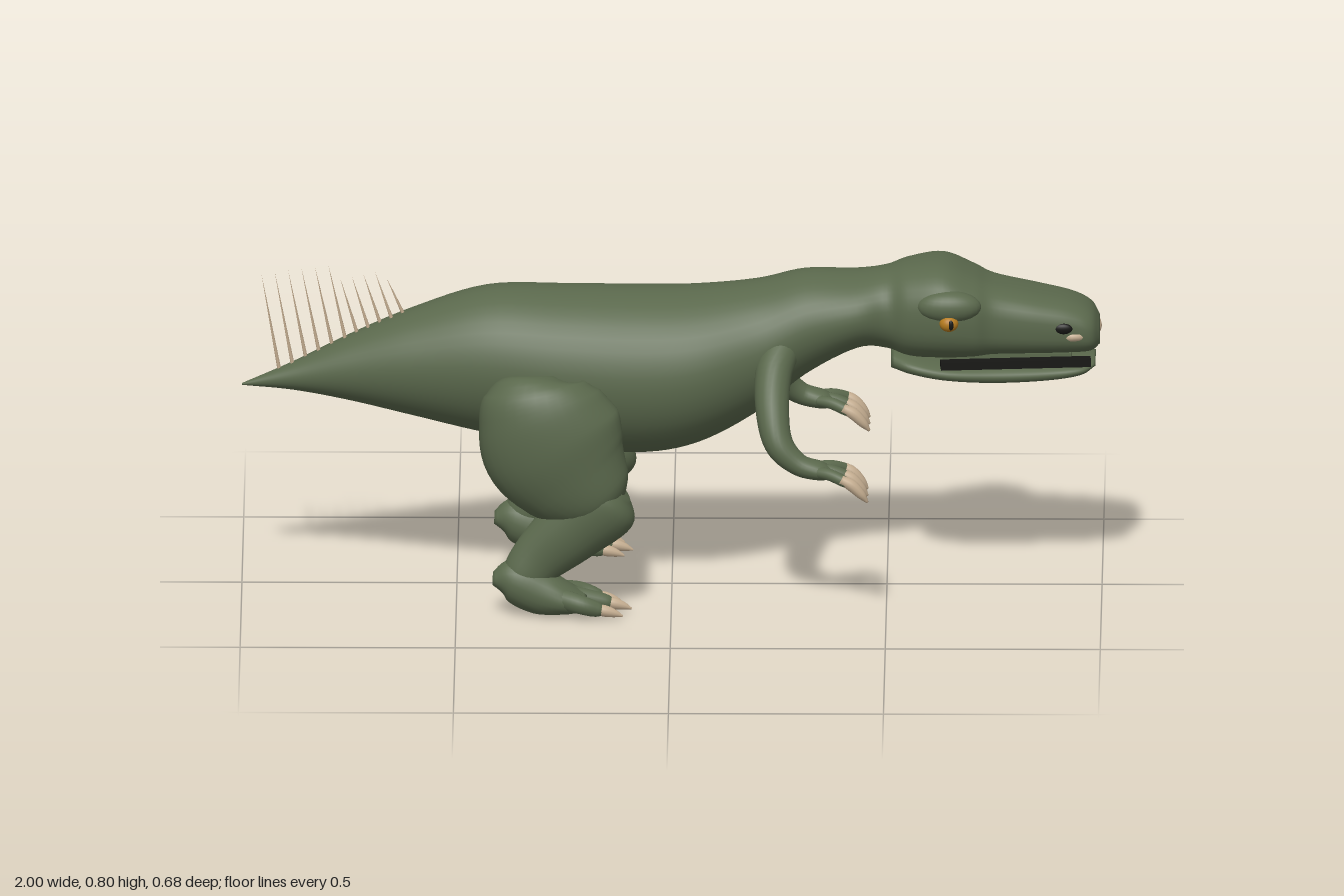
import * as THREE from 'three';

const mat = (name, color) => Object.assign(new THREE.MeshStandardMaterial({ color }), { name });

// Smooth closed skin swept through rows [x, y, z, radius in the xy plane, radius along z, squareness]
function sweep(rows, { steps = 6, sides = 24, axis = null } = {}) {
  const centre = new THREE.CatmullRomCurve3(rows.map(r => new THREE.Vector3(r[0], r[1], r[2])), false, 'catmullrom', 0.5);
  const size = new THREE.CatmullRomCurve3(rows.map(r => new THREE.Vector3(r[3], r[4], r[5] ?? 2)), false, 'catmullrom', 0.5);
  const n = (rows.length - 1) * steps;
  const pos = [], index = [];
  const side = new THREE.Vector3(), up = new THREE.Vector3(), p = new THREE.Vector3();
  const squash = (v, e) => Math.sign(v) * Math.pow(Math.abs(v), 2 / e);
  for (let i = 0; i <= n; i++) {
    const c = centre.getPoint(i / n), s = size.getPoint(i / n);
    const t = axis ?? centre.getTangent(i / n);
    side.set(0, 0, 1).addScaledVector(t, -t.z).normalize();
    up.crossVectors(side, t);
    for (let k = 0; k < sides; k++) {
      const a = (k / sides) * Math.PI * 2;
      p.copy(c)
        .addScaledVector(up, Math.max(s.x, 0.001) * squash(Math.sin(a), s.z))
        .addScaledVector(side, Math.max(s.y, 0.001) * squash(Math.cos(a), s.z));
      pos.push(p.x, p.y, p.z);
    }
  }
  for (let i = 0; i < n; i++) {
    for (let k = 0; k < sides; k++) {
      const a = i * sides + k, b = i * sides + (k + 1) % sides;
      index.push(a, a + sides, b, b, a + sides, b + sides);
    }
  }
  // End caps
  for (const [ring, row, flip] of [[0, rows[0], false], [n, rows[rows.length - 1], true]]) {
    const tip = pos.length / 3;
    pos.push(row[0], row[1], row[2]);
    for (let k = 0; k < sides; k++) {
      const a = ring * sides + k, b = ring * sides + (k + 1) % sides;
      index.push(tip, flip ? b : a, flip ? a : b);
    }
  }
  const g = new THREE.BufferGeometry();
  g.setAttribute('position', new THREE.Float32BufferAttribute(pos, 3));
  g.setIndex(index);
  g.computeVertexNormals();
  return g;
}

export function createModel() {
  const model = new THREE.Group();
  model.name = 'dinosaur';
  const skin = mat('green skin', 0x5a684c);
  const bone = mat('bone', 0xc4ad90);
  const amber = mat('amber eye', 0xb47a1e);
  const black = mat('black', 0x161614);

  const add = (name, geometry, material, parent = model) => {
    const m = new THREE.Mesh(geometry, material);
    m.name = name;
    parent.add(m);
    return m;
  };
  const blob = (name, material, parent, [x, y, z], [rx, ry, rz]) => {
    const m = add(name, new THREE.SphereGeometry(1, 24, 16), material, parent);
    m.position.set(x, y, z);
    m.scale.set(rx, ry, rz);
    return m;
  };

  // Tail, trunk, neck and upper head: [x, top, bottom, half width, squareness]
  const X = new THREE.Vector3(1, 0, 0);
  const profile = rows => rows.map(([x, t, b, w, e]) => [x, (t + b) / 2, 0, (t - b) / 2, w, e]);
  add('body', sweep(profile([
    [-1, .492, .488, .003], [-.88, .545, .478, .035], [-.75, .61, .455, .075],
    [-.6, .675, .42, .12], [-.43, .728, .38, .16], [-.25, .73, .35, .182],
    [-.08, .728, .335, .19], [.06, .73, .36, .185], [.2, .745, .435, .155],
    [.31, .77, .525, .137], [.43, .77, .59, .125], [.5, .78, .59, .108, 2.2],
    [.55, .795, .575, .13, 2.4], [.63, .803, .575, .148, 2.6], [.7, .775, .578, .138, 2.7],
    [.75, .752, .582, .118, 2.8], [.85, .73, .584, .11, 2.8], [.93, .712, .585, .1, 2.7],
    [.975, .69, .588, .088, 2.5], [.995, .66, .6, .055, 2.2],
  ]), { axis: X, sides: 40 }), skin);

  // Lower jaw
  add('jaw', sweep(profile([
    [.51, .6, .55, .09, 2.4], [.56, .59, .54, .12, 2.4], [.64, .575, .528, .127, 2.5],
    [.75, .57, .518, .112, 2.5], [.87, .568, .522, .1, 2.5], [.95, .57, .533, .088, 2.3],
    [.985, .57, .55, .055, 2],
  ]), { axis: X, sides: 32 }), skin);
  add('mouthLining', new THREE.BoxGeometry(.3, .03, .15), skin).position.set(.78, .578, 0);

  // Pale nose patch
  blob('nosePatch', bone, model, [.93, .639, 0], [.07, .031, .104]);

  // Row of thin spines along the tail
  const spines = new THREE.Group();
  spines.name = 'tailSpines';
  model.add(spines);
  const spine = (x, y, i) => {
    const tip = new THREE.Vector3(x, y, 0);
    const base = new THREE.Vector3(x + .042, .485 + (x + 1.042) * .45, (i % 2 ? 1 : -1) * .002);
    const dir = tip.clone().sub(base);
    const m = add('spine', new THREE.ConeGeometry(.005, dir.length(), 6), bone, spines);
    m.position.copy(base).addScaledVector(dir, .5);
    m.quaternion.setFromUnitVectors(new THREE.Vector3(0, 1, 0), dir.normalize());
  };
  for (let i = 0; i < 6; i++) spine(-.955 + i * .031, .76 + i * .005, i);
  for (let i = 0; i < 5; i++) spine(-.772 + i * .027, .75 + (i % 4) * .005, i);

  for (const s of [1, -1]) {
    const half = new THREE.Group();
    half.name = s > 0 ? 'leftSide' : 'rightSide';
    model.add(half);
    const limb = (name, rows, material = skin, sides = 24) =>
      add(name, sweep(rows.map(([x, y, z, a, b]) => [x, y, z * s, a, b]), { sides }), material, half);

    // Face: brow, eye, nostril and mouth line
    blob('brow', skin, half, [.645, .722, s * .124], [.075, .038, .036]);
    blob('eye', amber, half, [.645, .688, s * .147], [.022, .019, .02]);
    blob('pupil', black, half, [.65, .689, s * .164], [.006, .012, .004]);
    blob('nostril', black, half, [.91, .661, s * .1], [.022, .013, .008]);
    const lip = add('mouthLine', new THREE.BoxGeometry(.35, .018, .03), black, half);
    lip.position.set(.8, .577, s * .1);
    lip.rotation.y = s * .09;

    // Arm
    limb('arm', [
      [.26, .62, .09, .045, .045], [.238, .57, .15, .043, .043], [.235, .5, .215, .039, .039],
      [.25, .43, .258, .034, .036], [.295, .385, .275, .026, .028], [.345, .37, .276, .022, .034],
      [.37, .364, .276, .014, .026],
    ]);
    // Three fingers with claws
    for (const z of [.222, .275, .327]) {
      const m = .275 + (z - .275) * .35;
      limb('finger', [[.335, .372, m, .013, .013], [.37, .37, (m + z) / 2, .014, .014],
        [.405, .358, z, .013, .013], [.42, .35, z, .008, .008]], skin, 12);
      limb('fingerClaw', [[.395, .364, z, .011, .012], [.42, .35, z, .014, .015],
        [.442, .328, z, .011, .012], [.457, .309, z, .003, .003]], bone, 12);
    }

    // Thigh, shin and foot
    limb('thigh', [
      [-.315, .575, .2, .04, .03], [-.315, .55, .208, .115, .083], [-.305, .5, .216, .148, .104],
      [-.275, .42, .22, .17, .107], [-.23, .35, .222, .148, .095], [-.175, .29, .224, .1, .077],
      [-.15, .262, .224, .06, .05],
    ], skin, 32);
    limb('shin', [
      [-.125, .315, .225, .04, .04], [-.155, .285, .225, .093, .072], [-.235, .21, .228, .082, .062],
      [-.305, .145, .232, .066, .046], [-.345, .095, .235, .052, .042], [-.355, .075, .235, .03, .03],
    ]);
    limb('foot', [
      [-.415, .092, .235, .015, .02], [-.37, .09, .235, .05, .046], [-.305, .062, .235, .055, .055],
      [-.245, .044, .233, .037, .06], [-.2, .035, .231, .02, .048],
    ]);
    // Three toes with claws
    for (const [z, reach] of [[.18, -.01], [.225, .01], [.284, -.01]]) {
      limb('toe', [[-.27, .055, .232 + (z - .232) * .5, .025, .025], [-.215, .045, z, .023, .021],
        [-.165 + reach, .033, z, .019, .017], [-.145 + reach, .028, z, .01, .01]], skin, 12);
      limb('toeClaw', [[-.17 + reach, .034, z, .011, .011], [-.145 + reach, .029, z, .014, .013],
        [-.122 + reach, .023, z, .01, .009], [-.102 + reach, .016, z, .002, .002]], bone, 12);
    }
  }
  return model;
}
